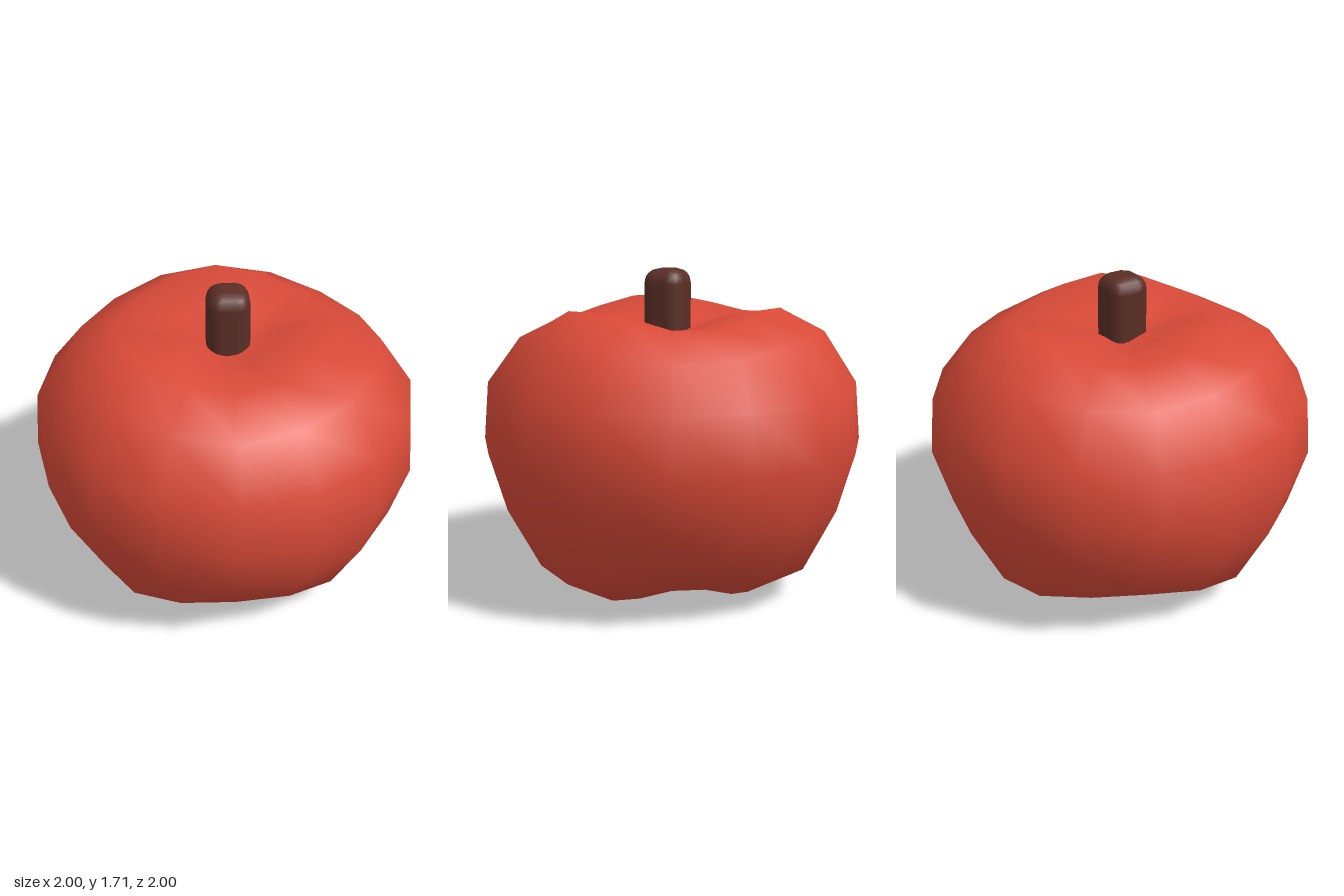
import * as THREE from 'three';
import { RoundedBoxGeometry } from 'three/addons/geometries/RoundedBoxGeometry.js';

const SIDES = 16;
const LOBE_PHASE = THREE.MathUtils.degToRad(28);

// Rings from the bottom hollow to the top hollow: radius, height, lobe swing in height
const RINGS = [
  [0, 0.28, 0],
  [0.2, 0.18, -0.03],
  [0.44, 0.065, -0.055],
  [0.74, 0.235, -0.06],
  [0.91, 0.525, -0.015],
  [1.0, 0.82, 0],
  [0.975, 1.12, 0],
  [0.8, 1.375, 0.035],
  [0.565, 1.495, 0.04],
  [0.28, 1.455, 0.03],
  [0, 1.37, 0],
];

// Round fruit with three soft lobes, smooth all over
function fruitGeometry() {
  const positions = [];
  const rows = [];
  for (const [radius, height, swing] of RINGS) {
    const count = radius === 0 ? 1 : SIDES;
    const row = [];
    for (let j = 0; j < count; j++) {
      const angle = (j / SIDES) * Math.PI * 2;
      const lobe = Math.cos(3 * (angle - LOBE_PHASE));
      row.push(positions.length / 3);
      positions.push(radius * Math.cos(angle), height + swing * lobe, radius * Math.sin(angle));
    }
    rows.push(row);
  }

  const index = [];
  for (let i = 0; i < rows.length - 1; i++) {
    const low = rows[i];
    const high = rows[i + 1];
    for (let j = 0; j < SIDES; j++) {
      const k = j + 1;
      const a = low[j % low.length], d = low[k % low.length];
      const b = high[j % high.length], c = high[k % high.length];
      if (b !== c) index.push(a, b, c);
      if (a !== d) index.push(a, c, d);
    }
  }

  const geometry = new THREE.BufferGeometry();
  geometry.setAttribute('position', new THREE.Float32BufferAttribute(positions, 3));
  geometry.setIndex(index);
  geometry.computeVertexNormals();
  return geometry;
}

export function createModel() {
  const red = new THREE.MeshStandardMaterial({ color: 0xd94a38 });
  red.name = 'fruit red';
  const brown = new THREE.MeshStandardMaterial({ color: 0x5a2e26 });
  brown.name = 'stem brown';

  const model = new THREE.Group();
  model.name = 'apple';

  const fruit = new THREE.Mesh(fruitGeometry(), red);
  fruit.name = 'fruit';
  model.add(fruit);

  // Soft-edged square stem set in the top hollow
  const stem = new THREE.Mesh(new RoundedBoxGeometry(0.22, 0.46, 0.22, 2, 0.075), brown);
  stem.name = 'stem';
  stem.position.set(0.01, 1.49, 0.02);
  model.add(stem);

  return model;
}
